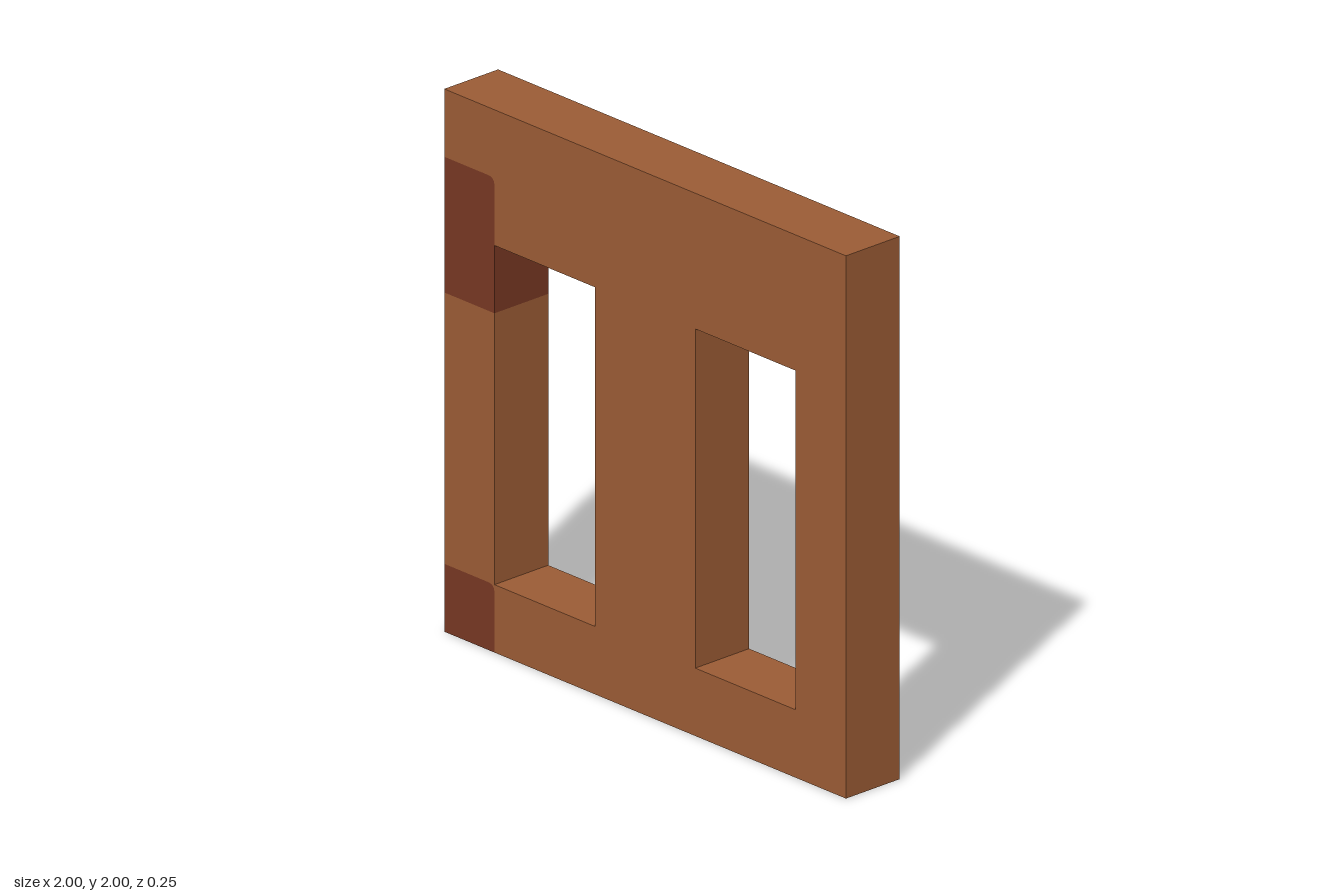
import * as THREE from 'three';

const DEPTH = 0.25; // thickness of the panel
const R = 0.03;     // rounded corner of the hinge bands

// Extrude a front outline through the full thickness, centred on z = 0
function slab(name, shape, material) {
  const geometry = new THREE.ExtrudeGeometry(shape, { depth: DEPTH, bevelEnabled: false, curveSegments: 4 });
  geometry.translate(0, 0, -DEPTH / 2);
  const mesh = new THREE.Mesh(geometry, material);
  mesh.name = name;
  return mesh;
}

// Hinge band on the post, with its upper inner corner rounded
function bandShape(bottom, top) {
  const s = new THREE.Shape();
  s.moveTo(-1, bottom);
  s.lineTo(-0.75, bottom);
  s.lineTo(-0.75, top - R);
  s.quadraticCurveTo(-0.75, top, -0.75 - R, top);
  s.lineTo(-1, top);
  s.closePath();
  return s;
}

// Wooden panel, notched where the bands sit; the first window opens onto the upper band
function panelShape() {
  const s = new THREE.Shape();
  const lines = (...pts) => pts.forEach(([x, y]) => s.lineTo(x, y));
  s.moveTo(-0.75, 0);
  lines([1, 0], [1, 2], [-1, 2], [-1, 1.75], [-0.75 - R, 1.75]);
  s.quadraticCurveTo(-0.75, 1.75, -0.75, 1.75 - R);
  lines([-0.75, 1.5], [-0.25, 1.5], [-0.25, 0.25], [-0.75, 0.25]);
  lines([-0.75, 1.25], [-1, 1.25], [-1, 0.25], [-0.75 - R, 0.25]);
  s.quadraticCurveTo(-0.75, 0.25, -0.75, 0.25 - R);
  s.closePath();

  // Second window
  const hole = new THREE.Path();
  hole.moveTo(0.25, 0.25);
  hole.lineTo(0.25, 1.5);
  hole.lineTo(0.75, 1.5);
  hole.lineTo(0.75, 0.25);
  hole.closePath();
  s.holes.push(hole);
  return s;
}

export function createModel() {
  const wood = new THREE.MeshStandardMaterial({ color: 0x9b5c35 });
  wood.name = 'brown wood';
  const darkWood = new THREE.MeshStandardMaterial({ color: 0x773823 });
  darkWood.name = 'dark red brown';

  const model = new THREE.Group();
  model.name = 'gate';
  model.add(
    slab('panel', panelShape(), wood),
    slab('upperHingeBand', bandShape(1.25, 1.75), darkWood),
    slab('lowerHingeBand', bandShape(0, 0.25), darkWood)
  );
  return model;
}
